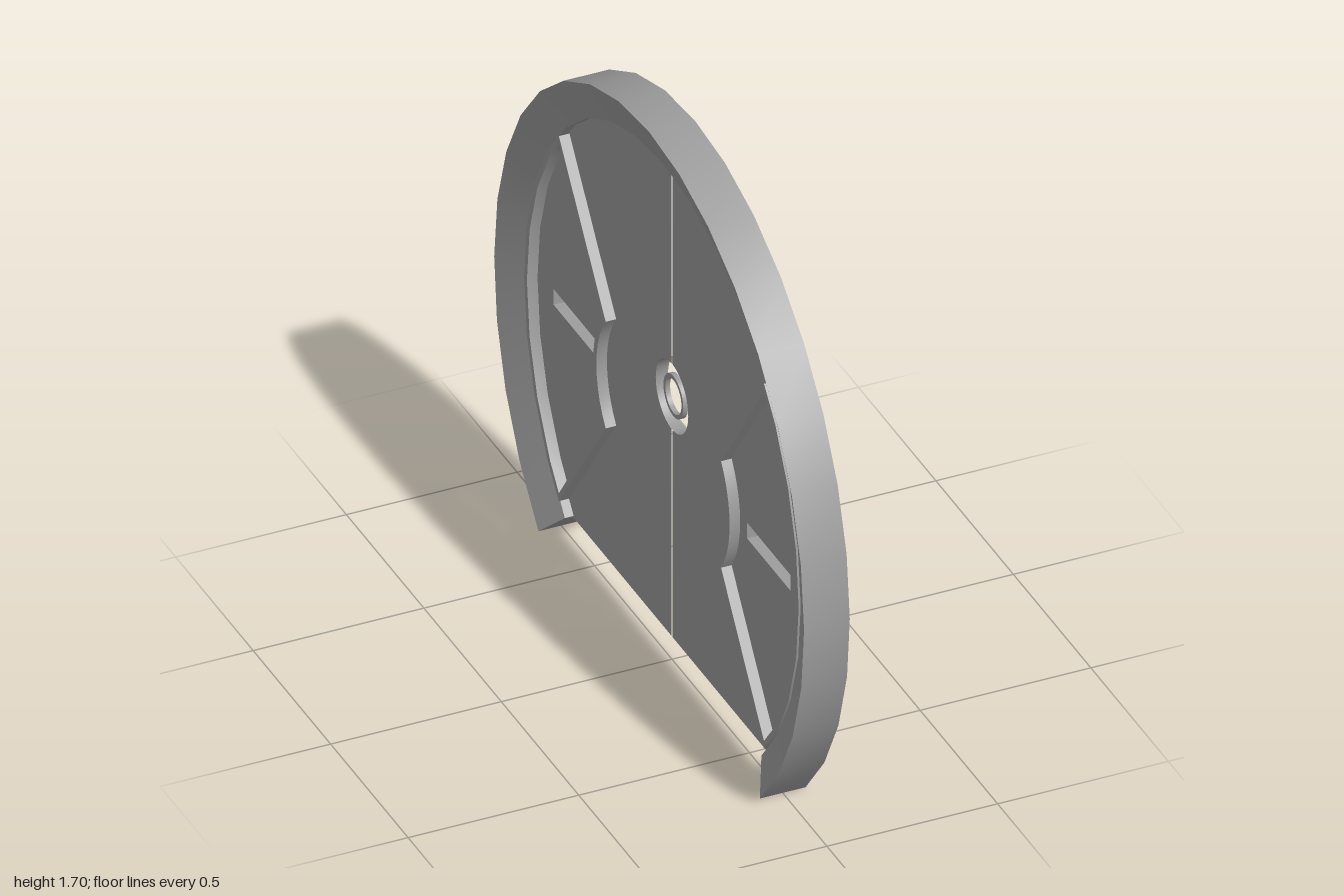
import * as THREE from 'three';
import { mergeGeometries, toCreasedNormals } from 'three/addons/utils/BufferGeometryUtils.js';

const CY = 0.699;               // height of the wheel centre
const HOLE_Y = 0.138;           // centre hole, relative to the wheel centre
const RIM_IN = 0.888;           // inner radius of the rim
const OPEN = 0.796;             // half angle of the opening at the bottom
const SEG = (Math.PI - OPEN) / 12;
const FRAME_X = -0.031, BAR_X = 0.034, COLLAR_X = 0.036;
const mat = new THREE.MeshStandardMaterial({ color: 0x9d9d9d, side: THREE.DoubleSide });

const V = (x, y) => new THREE.Vector2(x, y);
const flip = (pts, s) => pts.map(p => V(p.x * s, p.y));

// Points on an arc, including both ends
function arc(cx, cy, r, a0, a1, n) {
  const pts = [];
  for (let i = 0; i <= n; i++) {
    const a = a0 + (a1 - a0) * i / n;
    pts.push(V(cx + r * Math.cos(a), cy + r * Math.sin(a)));
  }
  return pts;
}

const circle = r => arc(0, HOLE_Y, r, 0, Math.PI * 2, 32).slice(0, -1);

// Flat sheet at one x position
function sheet(outline, holes, x) {
  const shape = new THREE.Shape(outline);
  holes.forEach(h => shape.holes.push(new THREE.Path(h)));
  return new THREE.ShapeGeometry(shape).toNonIndexed().rotateY(Math.PI / 2).translate(x, CY, 0);
}

// Thin wall that follows a closed outline between two x positions
function wall(outline, x0, x1) {
  const pos = [], uv = [];
  outline.forEach((a, i) => {
    const b = outline[(i + 1) % outline.length];
    for (const [p, x] of [[a, x0], [b, x0], [b, x1], [a, x0], [b, x1], [a, x1]]) {
      pos.push(x, p.y + CY, -p.x);
      uv.push(0, 0);
    }
  });
  const geo = new THREE.BufferGeometry();
  geo.setAttribute('position', new THREE.Float32BufferAttribute(pos, 3));
  geo.setAttribute('uv', new THREE.Float32BufferAttribute(uv, 2));
  geo.computeVertexNormals();
  return toCreasedNormals(geo, 0.5);
}

function part(name, ...geos) {
  const mesh = new THREE.Mesh(mergeGeometries(geos), mat);
  mesh.name = name;
  return mesh;
}

// Open rim with a section that tapers toward the centre, closed at both ends
function rim() {
  const profile = [V(1, -0.067), V(1, 0.067), V(RIM_IN, 0.026), V(RIM_IN, -0.026)];
  const start = Math.PI / 2 + OPEN, length = 2 * (Math.PI - OPEN);
  const ring = new THREE.LatheGeometry([...profile, profile[0]], 24, start, length);
  const caps = [start, start + length].map(phi =>
    new THREE.ShapeGeometry(new THREE.Shape(profile)).toNonIndexed().rotateY(phi - Math.PI / 2));
  const mesh = part('rim', toCreasedNormals(ring, 0.5), ...caps);
  mesh.geometry.rotateZ(-Math.PI / 2).translate(0, CY, 0);
  return mesh;
}

// Wedge outline: rim arc, straight sides and a hollow inner arc
function wedge(rimR, tip, corner, innerR) {
  const a = Math.atan2(corner.y, corner.x - 0.15);
  const b = Math.PI / 2 - 5 * SEG;
  return [V(tip.x, -tip.y), ...arc(0, 0, rimR, -b, b, 6), tip,
    ...arc(0.15, 0, innerR, a, -a, 10)];
}

export function createModel() {
  const group = new THREE.Group();
  group.add(rim());

  // Outlines of one half: plate with half of the hole, wedge frame and bar
  const gap = 0.003, bottom = -0.627;
  const t = Math.acos(gap / 0.105);
  const half = [
    V(gap, bottom), V(0.636, bottom),
    ...arc(0, 0, 0.893, OPEN - Math.PI / 2, Math.PI / 2 - SEG, 11), V(gap, 0.893),
    ...arc(0, HOLE_Y, 0.105, t, -t, 16),
  ];
  const frameOut = wedge(0.886, V(0.662, 0.582), V(0.36, 0.17), 0.27);
  const frameIn = wedge(0.868, V(0.662, 0.557), V(0.385, 0.17), 0.29);
  const bar = [V(0.485, -0.025), V(0.765, -0.025), V(0.765, 0.025), V(0.485, 0.025)];

  for (const s of [1, -1]) {
    const side = new THREE.Group();
    side.name = s > 0 ? 'backHalf' : 'frontHalf';
    const [h, fo, fi, b] = [half, frameOut, frameIn, bar].map(p => flip(p, s));
    side.add(part('plate', sheet(h, [fo], 0)));
    side.add(part('wedgePanel', sheet(fi, [b], 0)));
    // Hollow frame pressed to one face, hollow bar pressed to the other
    side.add(part('wedgeFrame', sheet(fo, [fi], FRAME_X), wall(fo, 0, FRAME_X), wall(fi, 0, FRAME_X)));
    side.add(part('bar', sheet(b, [], BAR_X), wall(b, 0, BAR_X)));
    group.add(side);
  }

  // Collar around the centre hole and a small ring inside it
  const outer = circle(0.064), inner = circle(0.052);
  group.add(part('holeCollar', wall(circle(0.105), 0, COLLAR_X)));
  group.add(part('centreRing', sheet(outer, [inner], 0.004), sheet(outer, [inner], 0.018),
    wall(outer, 0.004, 0.018), wall(inner, 0.004, 0.018)));

  return group;
}
